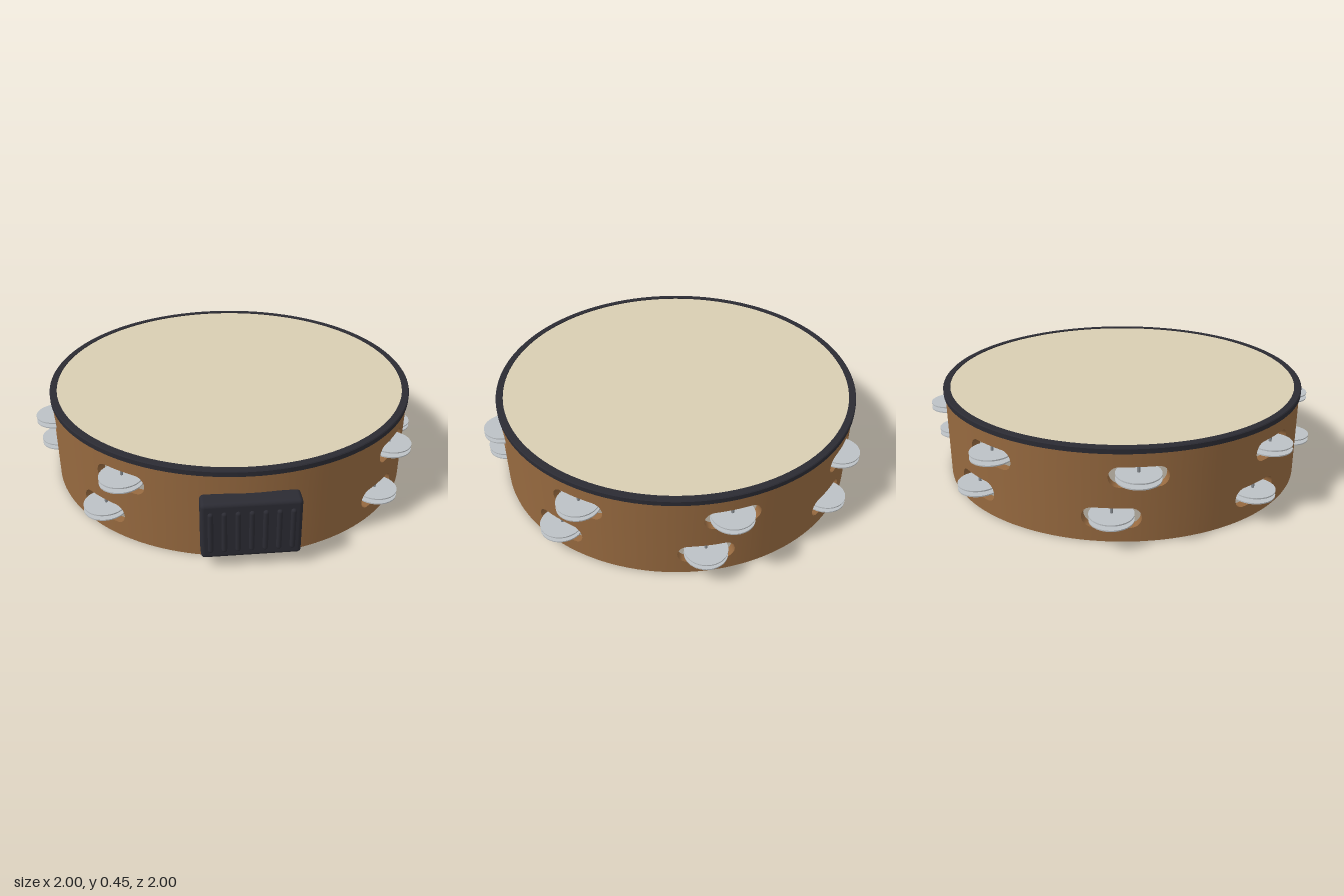
import * as THREE from 'three';
import { toCreasedNormals } from 'three/addons/utils/BufferGeometryUtils.js';
import { RoundedBoxGeometry } from 'three/addons/geometries/RoundedBoxGeometry.js';

const OUTER = 0.912, INNER = 0.87, FRAME_TOP = 0.43;
const SLOT_HALF = 0.132, SLOT_R = 0.048;      // rounded slot: half length, end radius
const ROWS = [{ y: 0.117, turn: 0 }, { y: 0.312, turn: 0.129 }];
const STEPS = [0, 1, 2, 3, 4, 5, 7];          // eighths of the ring; the grip takes number 6
const NOTCH = { angle: Math.PI * 1.5, half: 0.18, height: 0.036, r: 0.03 };

const slotAngles = (row) => STEPS.map((k) => k * Math.PI / 4 + row.turn);

// distance along the rim between two angles
function arc(a, b) {
  const d = Math.abs(a - b) % (2 * Math.PI);
  return Math.min(d, 2 * Math.PI - d) * OUTER;
}

// half height of a row's slots at an angle (0 where the frame is solid)
function slotHalfHeight(row, t) {
  const s = Math.min(...slotAngles(row).map((a) => arc(a, t)));
  if (s >= SLOT_HALF - 1e-6) return 0;
  const c = Math.max(0, s - (SLOT_HALF - SLOT_R));
  return Math.sqrt(SLOT_R * SLOT_R - c * c);
}

// height of the frame's bottom edge, with a rounded notch under the grip
function bottomEdge(t) {
  const s = arc(NOTCH.angle, t);
  if (s > NOTCH.half + 1e-6) return 0;
  const c = Math.max(0, s - (NOTCH.half - NOTCH.r));
  return NOTCH.height - NOTCH.r + Math.sqrt(Math.max(0, NOTCH.r * NOTCH.r - c * c));
}

// angles at which the frame is sampled, denser at the rounded ends
function sampleAngles() {
  const list = [];
  const add = (a) => list.push((a + 4 * Math.PI) % (2 * Math.PI));
  for (let i = 0; i < 128; i++) add(i / 128 * 2 * Math.PI);
  const addEnds = (a, half, r) => {
    for (let k = 0; k <= 6; k++) {
      const s = (half - r + r * Math.sin(k / 6 * Math.PI / 2)) / OUTER;
      add(a + s);
      add(a - s);
    }
  };
  ROWS.forEach((row) => slotAngles(row).forEach((a) => addEnds(a, SLOT_HALF, SLOT_R)));
  addEnds(NOTCH.angle, NOTCH.half, NOTCH.r);
  addEnds(NOTCH.angle, NOTCH.half + 0.001, 0.0005);
  list.sort((a, b) => a - b);
  const unique = list.filter((a, i) => i === 0 || a - list[i - 1] > 1e-5);
  return [...unique, unique[0] + 2 * Math.PI];
}

// three stacked bands whose wavy edges leave the slots open between them
function frameGeometry() {
  const pos = [];
  const at = (r, t, y) => [r * Math.cos(t), y, -r * Math.sin(t)];
  const quad = (a, b, c, d) => pos.push(...a, ...b, ...c, ...a, ...c, ...d);
  const edges = (t) => {
    const [lo, hi] = ROWS.map((row) => slotHalfHeight(row, t));
    return [bottomEdge(t), ROWS[0].y - lo, ROWS[0].y + lo, ROWS[1].y - hi, ROWS[1].y + hi, FRAME_TOP];
  };
  const angles = sampleAngles();
  for (let i = 0; i < angles.length - 1; i++) {
    const t0 = angles[i], t1 = angles[i + 1];
    const e0 = edges(t0), e1 = edges(t1);
    for (let b = 0; b < 6; b += 2) {
      quad(at(OUTER, t0, e0[b]), at(OUTER, t1, e1[b]), at(OUTER, t1, e1[b + 1]), at(OUTER, t0, e0[b + 1]));
      quad(at(INNER, t1, e1[b]), at(INNER, t0, e0[b]), at(INNER, t0, e0[b + 1]), at(INNER, t1, e1[b + 1]));
    }
    // edge faces: frame bottom and top, and slot walls where a slot is open
    for (let e = 0; e < 6; e++) {
      const other = e === 0 || e === 5 ? -1 : e % 2 ? e + 1 : e - 1;
      if (other >= 0 && Math.abs(e0[e] - e0[other]) + Math.abs(e1[e] - e1[other]) < 1e-6) continue;
      const o0 = at(OUTER, t0, e0[e]), o1 = at(OUTER, t1, e1[e]);
      const i0 = at(INNER, t0, e0[e]), i1 = at(INNER, t1, e1[e]);
      if (e % 2) quad(o0, o1, i1, i0);
      else quad(i0, i1, o1, o0);
    }
  }
  const geo = new THREE.BufferGeometry();
  geo.setAttribute('position', new THREE.Float32BufferAttribute(pos, 3));
  return toCreasedNormals(geo, 0.6);
}

export function createModel() {
  const model = new THREE.Group();
  model.name = 'tambourine';

  const material = (name, color) => {
    const m = new THREE.MeshStandardMaterial({ color });
    m.name = name;
    return m;
  };
  const wood = material('wood', 0x96693f);
  const skin = material('drum skin', 0xd8cdb2);
  const black = material('black plastic', 0x2b2b33);
  const metal = material('jingle metal', 0xbcc1c5);
  const steel = material('pin steel', 0x8b9095);

  const add = (parent, name, geo, mat, x = 0, y = 0, z = 0) => {
    const mesh = new THREE.Mesh(geo, mat);
    mesh.name = name;
    mesh.position.set(x, y, z);
    parent.add(mesh);
    return mesh;
  };

  // wooden ring, skin and hoop
  add(model, 'frame', frameGeometry(), wood);
  add(model, 'drumHead', new THREE.CylinderGeometry(0.888, 0.888, 0.016, 128), skin, 0, 0.438, 0);
  const hoop = [[0.885, 0.424], [0.92, 0.424], [0.92, 0.446], [0.916, 0.45], [0.885, 0.45], [0.885, 0.424]]
    .map(([x, y]) => new THREE.Vector2(x, y));
  add(model, 'hoop', toCreasedNormals(new THREE.LatheGeometry(hoop, 128), 0.5), black);

  // pairs of jingles on pins, two rows around the ring
  const discGeo = new THREE.CylinderGeometry(0.1, 0.1, 0.006, 40);
  const pinGeo = new THREE.CylinderGeometry(0.007, 0.007, 2 * SLOT_R + 0.01, 12);
  ROWS.forEach((row) => slotAngles(row).forEach((angle) => {
    const pair = new THREE.Group();
    pair.name = 'jinglePair';
    pair.rotation.y = angle;
    add(pair, 'upperJingle', discGeo, metal, 0.898, row.y + 0.013, 0);
    add(pair, 'lowerJingle', discGeo, metal, 0.898, row.y - 0.013, 0);
    add(pair, 'pin', pinGeo, steel, 0.893, row.y, 0);
    model.add(pair);
  }));

  // ribbed thumb grip on the front
  const grip = new THREE.Group();
  grip.name = 'grip';
  add(grip, 'gripBlock', new RoundedBoxGeometry(0.434, 0.28, 0.092, 3, 0.018), black, 0, 0.195, 0.938);
  const ribGeo = new THREE.CapsuleGeometry(0.012, 0.18, 4, 12);
  for (let i = -3; i <= 3; i++) add(grip, 'gripRib', ribGeo, black, i * 0.0585, 0.194, 0.986);
  model.add(grip);

  return model;
}
